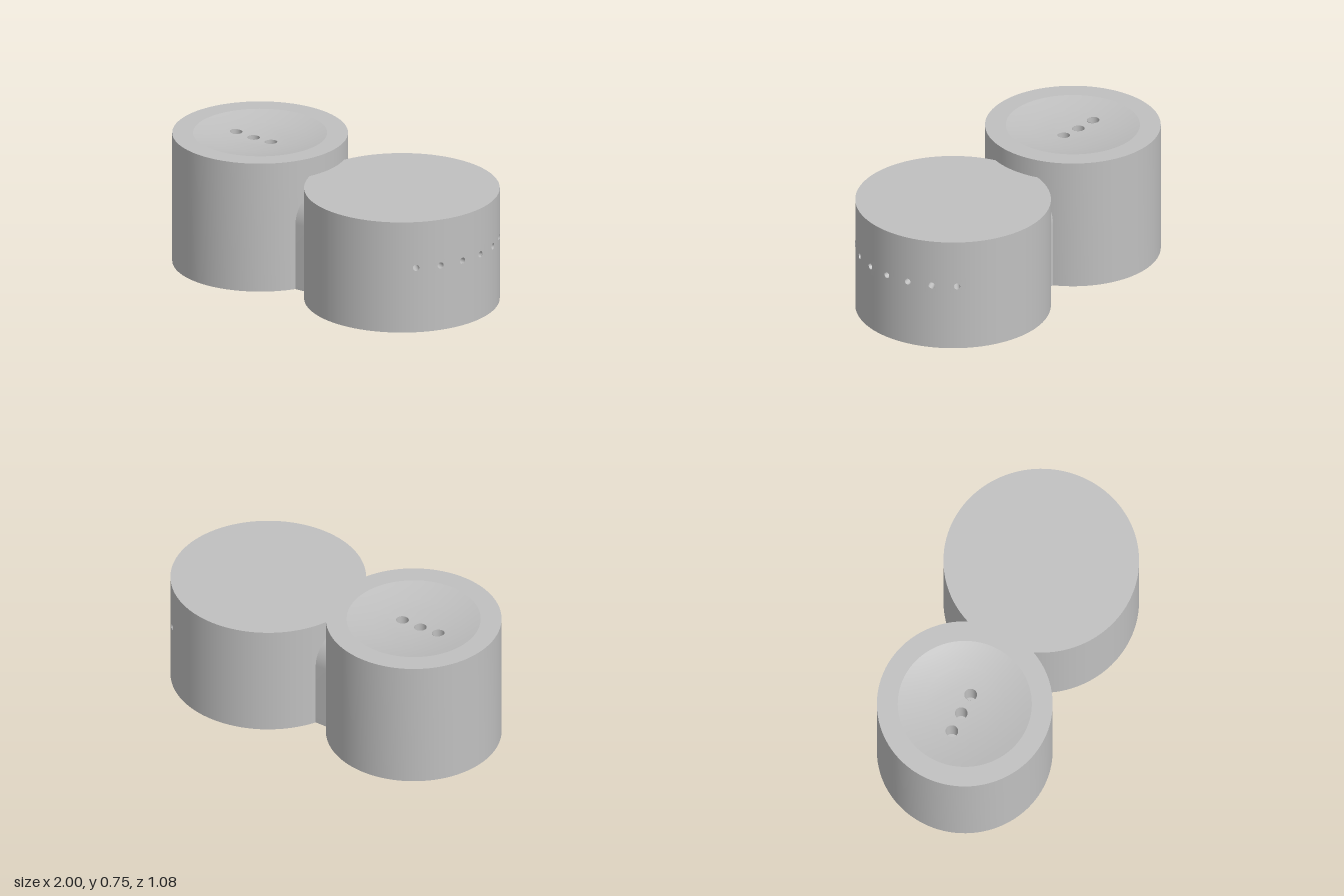
import * as THREE from 'three';
import { toCreasedNormals } from 'three/addons/utils/BufferGeometryUtils.js';

const SEG = 96;
const TALL = { x: -0.515, r: 0.485, h: 0.755 };
const WIDE = { x: 0.46, r: 0.54, h: 0.65 };
const DISH = { r: 0.37, inner: 0.22, depth: 0.04 };
const VENT = { y: 0.38, r: 0.018, depth: 0.15, step: Math.PI / 12, low: 0.33, high: 0.43 };

export function createModel() {
  const model = new THREE.Group();
  model.name = 'twinCylinders';
  const grey = new THREE.MeshStandardMaterial({ color: 0xc0c0c0, side: THREE.DoubleSide });
  grey.name = 'grey';

  const add = (parent, name, geometry, x = 0, y = 0, z = 0) => {
    const mesh = new THREE.Mesh(geometry, grey);
    mesh.name = name;
    mesh.position.set(x, y, z);
    parent.add(mesh);
    return mesh;
  };
  const circlePath = (x, y, r) => {
    const path = new THREE.Path();
    path.absarc(x, y, r, 0, Math.PI * 2, true);
    return path;
  };

  // Tall cylinder: bored underneath, shallow dish on top
  const tall = new THREE.Group();
  tall.name = 'tallCylinder';
  tall.position.x = TALL.x;
  model.add(tall);
  const dishY = (r) => TALL.h - DISH.depth * (1 - (r / DISH.r) ** 2);
  const profile = [[0, 0.25], [0.115, 0.25], [0.115, 0], [TALL.r, 0], [TALL.r, TALL.h]];
  for (let i = 0; i <= 5; i++) {
    const r = DISH.r + (DISH.inner - DISH.r) * i / 5;
    profile.push([r, dishY(r)]);
  }
  const lathe = new THREE.LatheGeometry(profile.map(([r, y]) => new THREE.Vector2(r, y)), SEG);
  add(tall, 'tallBody', toCreasedNormals(lathe, 0.15));

  // Middle of the dish, pierced by three round holes
  const disc = new THREE.Shape();
  disc.absarc(0, 0, DISH.inner, 0, Math.PI * 2, false);
  const holeXs = [-0.165, -0.045, 0.075];
  const holeR = 0.035;
  holeXs.forEach((x) => disc.holes.push(circlePath(x, 0, holeR)));
  const dish = new THREE.ShapeGeometry(disc, SEG / 2).rotateX(-Math.PI / 2);
  const dp = dish.attributes.position;
  const slope = 2 * DISH.depth / DISH.r ** 2;
  const normal = new THREE.Vector3();
  for (let i = 0; i < dp.count; i++) {
    const x = dp.getX(i), z = dp.getZ(i);
    dp.setY(i, dishY(Math.hypot(x, z)));
    normal.set(-slope * x, 1, -slope * z).normalize();
    dish.attributes.normal.setXYZ(i, normal.x, normal.y, normal.z);
  }
  add(tall, 'dishCentre', dish);
  holeXs.forEach((x) => {
    const top = dishY(Math.abs(x)), depth = 0.14;
    add(tall, 'topHoleWall', new THREE.CylinderGeometry(holeR, holeR, depth, 32, 1, true), x, top - depth / 2);
    add(tall, 'topHoleFloor', new THREE.CircleGeometry(holeR, 32).rotateX(-Math.PI / 2), x, top - depth);
  });

  // Wide cylinder: caps, wall below and above the vent band, rest of the band
  const wide = new THREE.Group();
  wide.name = 'wideCylinder';
  wide.position.x = WIDE.x;
  model.add(wide);
  const wall = (name, y0, y1, start = 0, length = Math.PI * 2, segments = SEG) =>
    add(wide, name, new THREE.CylinderGeometry(WIDE.r, WIDE.r, y1 - y0, segments, 1, true, start, length), 0, (y0 + y1) / 2);
  wall('lowerWall', 0, VENT.low);
  wall('upperWall', VENT.high, WIDE.h);
  wall('bandWall', VENT.low, VENT.high, Math.PI / 2 + 3.5 * VENT.step, 17 * VENT.step, 68);
  add(wide, 'wideTop', new THREE.CircleGeometry(WIDE.r, SEG).rotateX(-Math.PI / 2), 0, WIDE.h);
  add(wide, 'wideBottom', new THREE.CircleGeometry(WIDE.r, SEG).rotateX(Math.PI / 2));

  // One vent panel, drawn flat and wrapped round the wall
  const ventPanel = (angle) => {
    const half = WIDE.r * VENT.step / 2;
    const outline = [];
    for (let i = 0; i <= 4; i++) outline.push(new THREE.Vector2(-half + half * i / 2, VENT.low));
    for (let i = 4; i >= 0; i--) outline.push(new THREE.Vector2(-half + half * i / 2, VENT.high));
    const shape = new THREE.Shape(outline);
    shape.holes.push(circlePath(0, VENT.y, VENT.r));
    const geometry = new THREE.ShapeGeometry(shape, 14);
    const p = geometry.attributes.position;
    for (let i = 0; i < p.count; i++) {
      const a = angle + p.getX(i) / WIDE.r;
      p.setXYZ(i, WIDE.r * Math.sin(a), p.getY(i), WIDE.r * Math.cos(a));
      geometry.attributes.normal.setXYZ(i, Math.sin(a), 0, Math.cos(a));
    }
    return geometry;
  };
  for (let k = -3; k <= 3; k++) {
    const angle = Math.PI / 2 + k * VENT.step;
    add(wide, 'ventPanel', ventPanel(angle));
    const vent = new THREE.Group();
    vent.name = 'vent';
    vent.position.y = VENT.y;
    vent.rotation.y = angle;
    wide.add(vent);
    const bore = new THREE.CylinderGeometry(VENT.r, VENT.r, VENT.depth, 28, 1, true).rotateX(Math.PI / 2);
    add(vent, 'ventWall', bore, 0, 0, WIDE.r - 0.0004 - VENT.depth / 2);
    add(vent, 'ventFloor', new THREE.CircleGeometry(VENT.r, 28), 0, 0, WIDE.r - VENT.depth);
  }

  // Round-topped bridge joining the two cylinders
  const arch = new THREE.Shape();
  arch.moveTo(-0.24, 0);
  arch.lineTo(0.24, 0);
  arch.lineTo(0.24, 0.38);
  arch.absarc(0, 0.38, 0.24, 0, Math.PI, false);
  arch.lineTo(-0.24, 0);
  const bridge = new THREE.ExtrudeGeometry(arch, { depth: 0.15, bevelEnabled: false, curveSegments: 24 });
  bridge.rotateY(Math.PI / 2);
  add(model, 'bridge', toCreasedNormals(bridge, 0.5), -0.13);

  return model;
}
